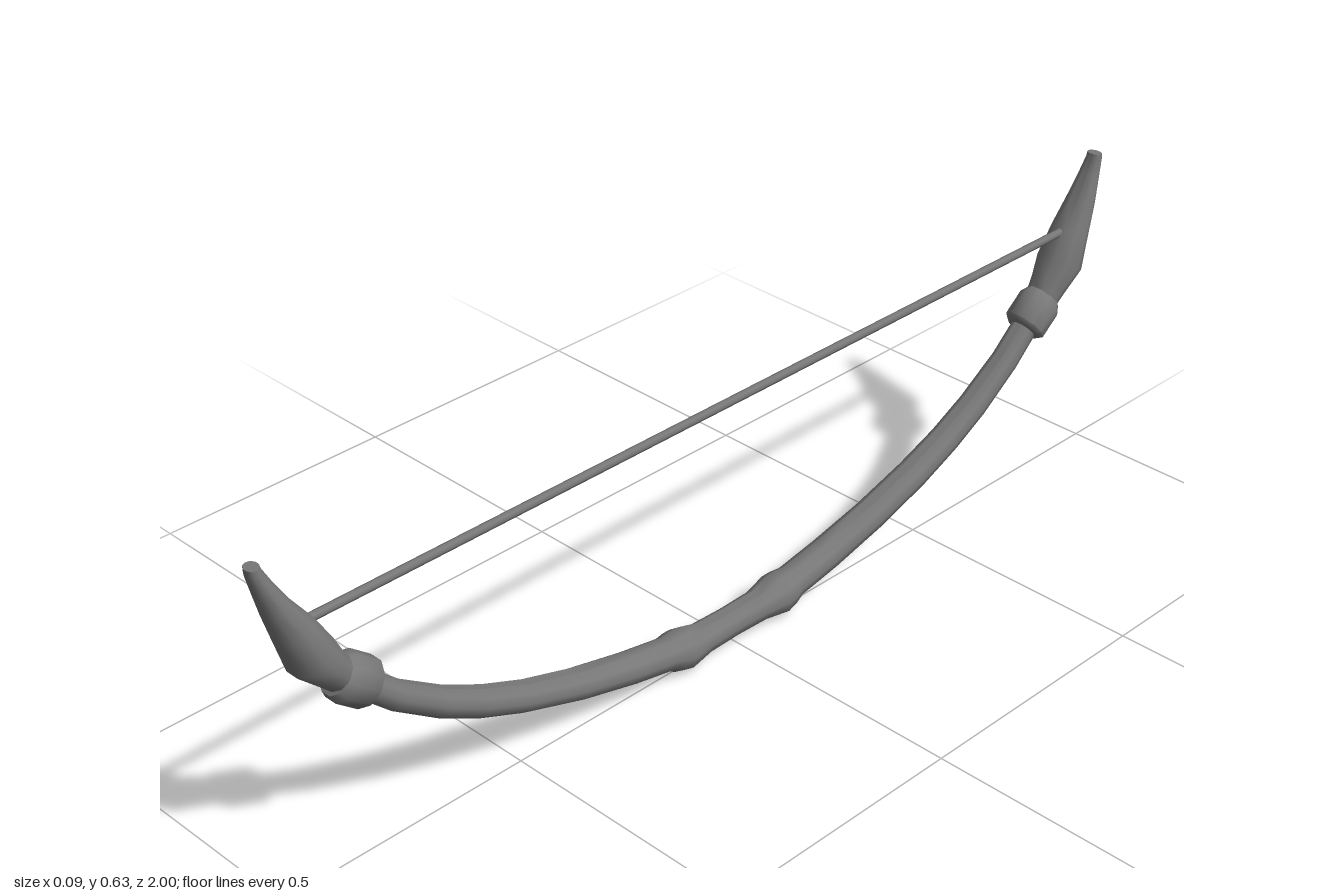
import * as THREE from 'three';
import { toCreasedNormals } from 'three/addons/utils/BufferGeometryUtils.js';

const SIDES = 10;

// Sweeps an elliptical ring through stations [z, y, half width in x, half thickness]
function sweep(stations) {
  const pos = [], index = [], n = stations.length;
  stations.forEach(([z, y, rx, rn], i) => {
    const a = stations[Math.max(i - 1, 0)], b = stations[Math.min(i + 1, n - 1)];
    const len = Math.hypot(b[0] - a[0], b[1] - a[1]);
    const tz = (b[0] - a[0]) / len, ty = (b[1] - a[1]) / len;
    for (let j = 0; j < SIDES; j++) {
      const t = (j / SIDES) * Math.PI * 2, s = rn * Math.sin(t);
      pos.push(rx * Math.cos(t), y + tz * s, z - ty * s);
    }
  });
  for (let i = 0; i < n - 1; i++) {
    for (let j = 0; j < SIDES; j++) {
      const k = (j + 1) % SIDES;
      const a = i * SIDES + j, b = i * SIDES + k;
      index.push(a, b, a + SIDES, b, b + SIDES, a + SIDES);
    }
  }
  // flat end caps
  const last = (n - 1) * SIDES;
  for (let j = 1; j < SIDES - 1; j++) {
    index.push(0, j + 1, j, last, last + j, last + j + 1);
  }
  const g = new THREE.BufferGeometry();
  g.setAttribute('position', new THREE.Float32BufferAttribute(pos, 3));
  g.setIndex(index);
  return toCreasedNormals(g, 0.9);
}

export function createModel() {
  const bow = new THREE.Group();
  bow.name = 'bow';
  const material = new THREE.MeshStandardMaterial({ color: 0x787878 });
  const add = (parent, name, geometry) => {
    const mesh = new THREE.Mesh(geometry, material);
    mesh.name = name;
    parent.add(mesh);
    return mesh;
  };

  // Curved stave with a waisted grip between two swellings
  const half = [
    [0.07, 0.036, 0.031, 0.029],
    [0.12, 0.038, 0.04, 0.04],
    [0.14, 0.042, 0.038, 0.037],
    [0.16, 0.046, 0.033, 0.031],
    [0.25, 0.063, 0.033, 0.03],
    [0.37, 0.092, 0.032, 0.029],
    [0.49, 0.13, 0.031, 0.028],
    [0.58, 0.167, 0.029, 0.028],
    [0.66, 0.209, 0.028, 0.027],
    [0.75, 0.27, 0.026, 0.026],
    [0.83, 0.343, 0.025, 0.025],
  ];
  const mirrored = half.map(([z, ...rest]) => [-z, ...rest]).reverse();
  add(bow, 'stave', sweep([...mirrored, [0, 0.036, 0.029, 0.028], ...half]));

  // Bevelled collar following the slope of the stave
  const collarGeometry = sweep(
    [[-0.04, 0.033], [-0.032, 0.041], [0.02, 0.041], [0.036, 0.033]].map(
      ([d, r]) => [0.831 + d * 0.78, 0.345 + d * 0.62, r, r * 1.08]
    )
  );

  // Horn tip: narrow neck, wide shoulder, long taper to a level end
  const hornGeometry = sweep([
    [0.845, 0.356, 0.03, 0.03],
    [0.872, 0.388, 0.036, 0.034],
    [0.902, 0.426, 0.045, 0.043],
    [0.928, 0.485, 0.037, 0.035],
    [0.956, 0.54, 0.029, 0.024],
    [0.975, 0.585, 0.021, 0.017],
    [0.987, 0.616, 0.016, 0.013],
    [0.988, 0.626, 0.015, 0.012],
  ]);

  for (const [name, angle] of [['frontTip', 0], ['backTip', Math.PI]]) {
    const tip = new THREE.Group();
    tip.name = name;
    tip.rotation.y = angle;
    add(tip, 'collar', collarGeometry);
    add(tip, 'horn', hornGeometry);
    bow.add(tip);
  }

  // Taut string between the horns
  const string = add(bow, 'string', new THREE.CylinderGeometry(0.008, 0.008, 1.82, 8));
  string.rotation.x = Math.PI / 2;
  string.position.y = 0.49;

  return bow;
}
